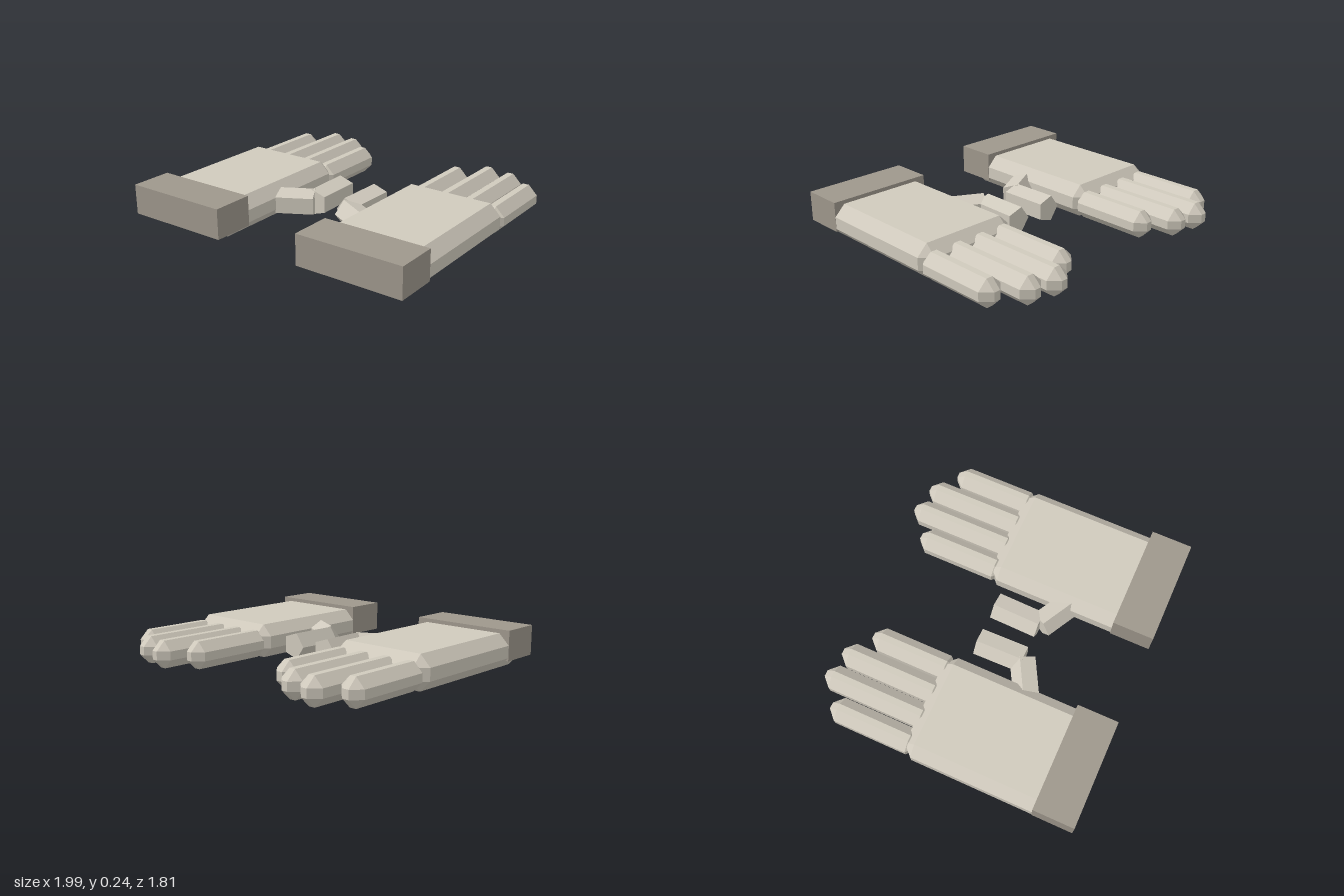
import * as THREE from 'three';
import { ConvexGeometry } from 'three/addons/geometries/ConvexGeometry.js';

const fabric = new THREE.MeshStandardMaterial({ name: 'pale fabric', color: 0xd0cabd });
const band = new THREE.MeshStandardMaterial({ name: 'dark cuff', color: 0x9e978c });

// Box with every edge cut back by c, given by its min and max corners
function chamferBox(min, max, c) {
  const mid = min.map((v, i) => (v + max[i]) / 2);
  const half = min.map((v, i) => (max[i] - v) / 2);
  const points = [];
  for (let axis = 0; axis < 3; axis++) {
    for (const sx of [-1, 1]) for (const sy of [-1, 1]) for (const sz of [-1, 1]) {
      const p = [sx, sy, sz].map((s, i) => mid[i] + s * (half[i] - (i === axis ? 0 : c)));
      points.push(new THREE.Vector3(...p));
    }
  }
  return new ConvexGeometry(points);
}

function addPart(group, name, geometry, material) {
  const mesh = new THREE.Mesh(geometry, material);
  mesh.name = name;
  group.add(mesh);
  return mesh;
}

// Five-sided thumb joint lying flat, one ridge towards -x before turning
function thumbJoint(length, turn, x, z) {
  return new THREE.CylinderGeometry(0.09, 0.09, length, 5).toNonIndexed()
    .rotateX(Math.PI / 2).rotateZ(-Math.PI / 2).rotateY(turn).translate(x, 0.1, z);
}

// side = 1 for the +x glove (thumb towards -x), -1 for the other
function makeGlove(side) {
  const glove = new THREE.Group();
  glove.name = side > 0 ? 'leftGlove' : 'rightGlove';
  const cx = side > 0 ? 0.642 : -0.648;

  addPart(glove, 'palm', chamferBox([cx - 0.35, 0, -0.25], [cx + 0.35, 0.22, 0.82], 0.07), fabric);

  const cuff = addPart(glove, 'cuff', new THREE.BoxGeometry(0.702, 0.195, 0.27), band);
  cuff.position.set(cx, 0.1475, 0.767);

  // Fingers share one order on both gloves
  [-0.78, -0.91, -0.88, -0.75].forEach((tip, i) => {
    const x = cx - 0.252 + i * 0.1745;
    addPart(glove, 'finger' + (i + 1),
      chamferBox([x - 0.081, 0.01, tip], [x + 0.081, 0.186, -0.17], 0.06), fabric);
  });

  // Thumb: a slanted base joint and a straight tip joint
  addPart(glove, 'thumbBase', thumbJoint(0.24, side * 1.07, side > 0 ? 0.243 : -0.23, 0.256), fabric);
  addPart(glove, 'thumbTip', thumbJoint(0.315, side * -0.02, side > 0 ? 0.14 : -0.125, 0.038), fabric);
  return glove;
}

export function createModel() {
  const model = new THREE.Group();
  model.name = 'gloves';
  fabric.flatShading = true;
  band.flatShading = true;
  model.add(makeGlove(1), makeGlove(-1));
  return model;
}
